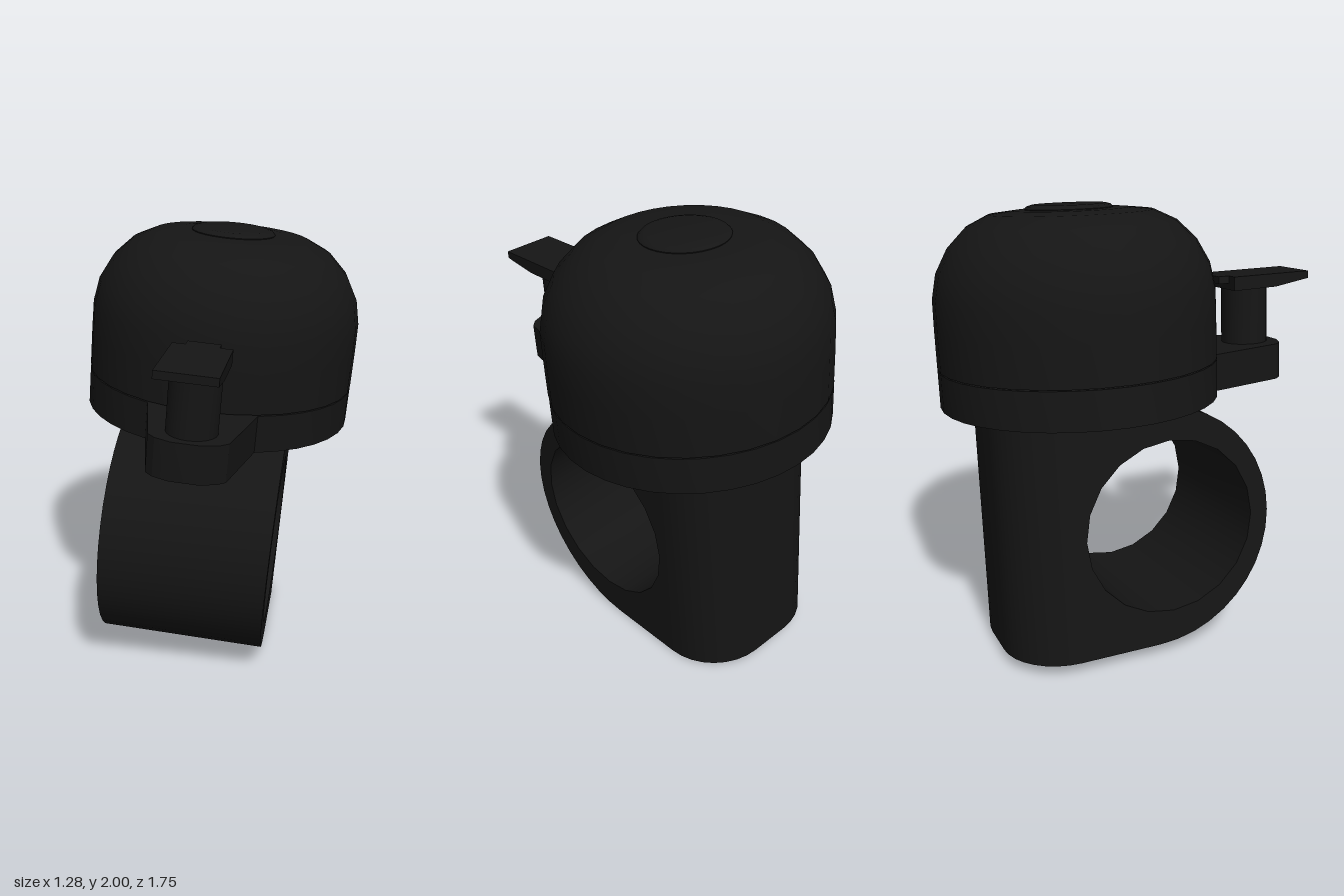
import * as THREE from 'three';
import { toCreasedNormals } from 'three/addons/utils/BufferGeometryUtils.js';

const V = (x, y) => new THREE.Vector2(x, y);

export function createModel() {
  const model = new THREE.Group();
  model.name = 'handlebarBell';
  const material = new THREE.MeshStandardMaterial({ color: 0x151515 });
  const axisZ = -0.252; // bell axis
  const width = 0.753; // clamp width

  const bell = new THREE.Group();
  bell.name = 'tiltedBell';
  bell.position.set(-0.125, 0.035, 0);
  bell.rotation.z = -0.085;
  model.add(bell);

  // Everything above the clamp sits slightly off its centre
  const upper = new THREE.Group();
  upper.name = 'upperParts';
  upper.position.x = 0.012;
  bell.add(upper);

  function add(parent, name, geometry, crease = 0.6) {
    const mesh = new THREE.Mesh(toCreasedNormals(geometry, crease), material);
    mesh.name = name;
    parent.add(mesh);
    return mesh;
  }
  // Side profile (z, y) extruded across x, centred
  function acrossX(shape, w, curveSegments = 12) {
    return new THREE.ExtrudeGeometry(shape, { depth: w, bevelEnabled: false, curveSegments })
      .rotateY(-Math.PI / 2).translate(w / 2, 0, 0);
  }
  // Plan outline (x, z) extruded from y0 up to y1
  function upright(shape, y0, y1, curveSegments = 16) {
    return new THREE.ExtrudeGeometry(shape, { depth: y1 - y0, bevelEnabled: false, curveSegments })
      .rotateX(Math.PI / 2).translate(0, y1, 0);
  }
  const turned = (points) =>
    new THREE.LatheGeometry(points.map(([r, y]) => V(r, y)), 32).translate(0, 0, axisZ);

  // Clamp: round front, straight back, bar hole through the side
  const backZ = -0.715, cornerR = 0.276, clampR = 0.555;
  const joinZ = backZ + cornerR;
  const side = new THREE.Shape();
  side.absarc(-0.06, clampR, clampR, -Math.PI / 2, Math.PI / 2, false);
  side.lineTo(joinZ, 2 * clampR);
  side.lineTo(joinZ, 0);
  const hole = new THREE.Path();
  hole.absarc(0.01, clampR, 0.4, 0, Math.PI * 2, true);
  side.holes.push(hole);
  add(bell, 'clamp', acrossX(side, width, 10));

  // Back of the clamp with large rounded corners
  const flat = width / 2 - cornerR;
  const back = new THREE.Shape();
  back.absarc(-flat, joinZ, cornerR, Math.PI, Math.PI * 1.5, false);
  back.absarc(flat, joinZ, cornerR, Math.PI * 1.5, Math.PI * 2, false);
  add(bell, 'clampBack', upright(back, 0, 2 * clampR, 4));

  // Base disc with a tapered tab for the striker
  const baseR = 0.622, tab = 0.24;
  const gap = Math.asin(tab / baseR);
  const plate = new THREE.Shape();
  plate.absarc(0, axisZ, baseR, Math.PI / 2 + gap, Math.PI * 2.5 - gap, false);
  for (const [x, z] of [[0.165, 0.68], [0.13, 0.715], [0.06, 0.742],
    [-0.06, 0.742], [-0.13, 0.715], [-0.165, 0.68]]) plate.lineTo(x, z);
  add(upper, 'basePlate', upright(plate, 1.106, 1.273), 0.4);

  // Dome
  add(upper, 'dome', turned([[0, 1.278], [0.622, 1.278], [0.622, 1.45], [0.62, 1.58], [0.597, 1.69],
    [0.541, 1.793], [0.457, 1.877], [0.358, 1.925], [0.25, 1.937], [0, 1.94]]), 0.8);

  // Raised cap on top of the dome
  add(upper, 'topCap', turned([[0.19, 1.93], [0.192, 1.942], [0.182, 1.952], [0.16, 1.958],
    [0, 1.959]]), 0.8).position.z = -0.01;

  // Striker post and lever
  add(upper, 'strikerPost', new THREE.CylinderGeometry(0.108, 0.108, 0.29, 24).translate(0, 1.405, 0.598));
  const wedge = new THREE.Shape([V(0.48, 1.533), V(0.7, 1.536), V(0.875, 1.563),
    V(0.875, 1.597), V(0.48, 1.597)]);
  add(upper, 'strikerLever', acrossX(wedge, 0.25), 0.1);
  add(upper, 'strikerTip', new THREE.BoxGeometry(0.14, 0.034, 0.1).translate(0, 1.58, 0.478));

  return model;
}
